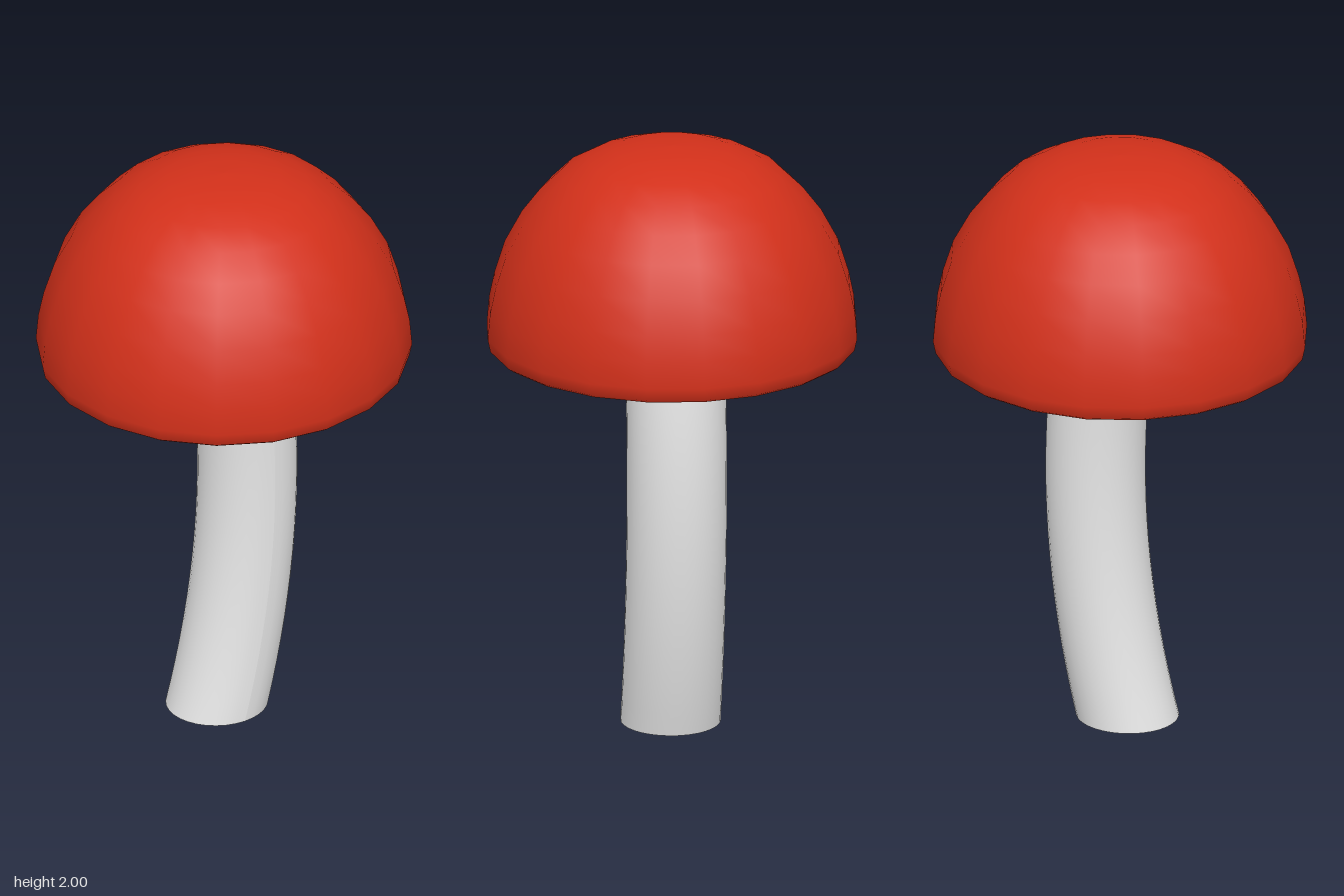
import * as THREE from 'three';

const capRed = new THREE.MeshStandardMaterial({ color: 0xd2301a, side: THREE.DoubleSide });
capRed.name = 'cap red';
const stemGrey = new THREE.MeshStandardMaterial({ color: 0xe6e6e6 });
stemGrey.name = 'stem pale grey';

// Thin hollow dome with a rim that curls slightly inward
function makeCap() {
  const profile = [
    [0.596, 1.307], [0.612, 1.318], [0.621, 1.36], [0.613, 1.45], [0.595, 1.535], [0.56, 1.645],
    [0.503, 1.75], [0.44, 1.832], [0.365, 1.905], [0.28, 1.953], [0.19, 1.983], [0.095, 1.996], [0, 2],
  ].map(([r, y]) => new THREE.Vector2(r, y));
  const cap = new THREE.Mesh(new THREE.LatheGeometry(profile, 20), capRed);
  cap.scale.z = 0.99;
  cap.name = 'cap';
  return cap;
}

// Bowed stem: a cylinder bent along a parabola, level at the foot and tilted at the top
function makeStem() {
  const height = 1.55, radius = 0.165, middle = 0.87, topTilt = 0.25;
  const geometry = new THREE.CylinderGeometry(radius, radius, height, 32, 20);
  geometry.translate(0, height / 2, 0);
  const p = geometry.attributes.position;
  for (let i = 0; i < p.count; i++) {
    const x = p.getX(i);
    const y = p.getY(i) * (1 + topTilt * x / height);
    const t = (y - middle) / middle;
    const slope = -0.24 * t / middle;
    p.setXYZ(i, x * Math.hypot(1, slope) + 0.092 - 0.12 * t * t, y, p.getZ(i));
  }
  geometry.computeVertexNormals();
  const stem = new THREE.Mesh(geometry, stemGrey);
  stem.name = 'stem';
  return stem;
}

export function createModel() {
  const mushroom = new THREE.Group();
  mushroom.name = 'mushroom';
  mushroom.add(makeCap(), makeStem());
  return mushroom;
}
